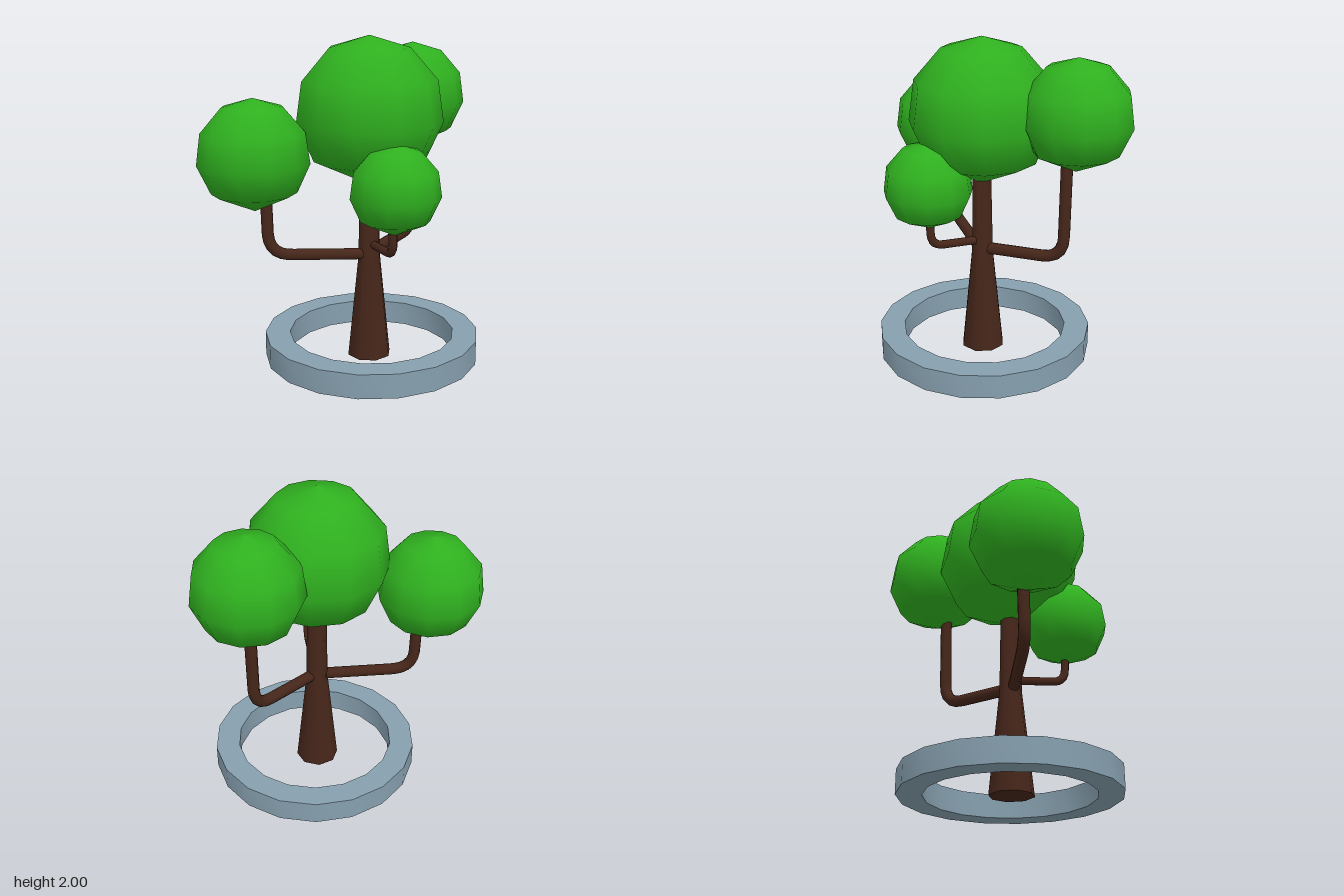
import * as THREE from 'three';
import { toCreasedNormals } from 'three/addons/utils/BufferGeometryUtils.js';

const leaf = new THREE.MeshStandardMaterial({ color: 0x2fb01f });
const bark = new THREE.MeshStandardMaterial({ color: 0x46261a, side: THREE.DoubleSide });
const stone = new THREE.MeshStandardMaterial({ color: 0x869fae });

function addMesh(group, name, geometry, material, x = 0, y = 0, z = 0) {
  const mesh = new THREE.Mesh(geometry, material);
  mesh.name = name;
  mesh.position.set(x, y, z);
  group.add(mesh);
  return mesh;
}

// Ball of eleven sides whose rings step by the same angle, ending in a wider bottom cone
function foliageGeometry(radius) {
  const step = (Math.PI * 2) / 11;
  const profile = [new THREE.Vector2(0, -radius)];
  for (let k = 4; k >= 0; k--) {
    profile.push(new THREE.Vector2(radius * Math.sin(k * step), radius * Math.cos(k * step)));
  }
  return new THREE.LatheGeometry(profile, 11, Math.PI);
}

// Branch running outward, then bending smoothly upward
function branchGeometry(start, corner, end, bend, radius) {
  const [a, c, b] = [start, corner, end].map((p) => new THREE.Vector3(...p));
  const before = c.clone().add(a.clone().sub(c).setLength(bend));
  const after = c.clone().add(b.clone().sub(c).setLength(bend));
  const path = new THREE.CurvePath();
  path.add(new THREE.LineCurve3(a, before));
  path.add(new THREE.QuadraticBezierCurve3(before, c, after));
  path.add(new THREE.LineCurve3(after, b));
  return new THREE.TubeGeometry(path, 24, radius, 10, false);
}

export function createModel() {
  const group = new THREE.Group();
  const v2 = (x, y) => new THREE.Vector2(x, y);

  // Planter ring around the base
  const ringProfile = [v2(0.515, 0), v2(0.67, 0), v2(0.67, 0.15), v2(0.515, 0.15), v2(0.515, 0)];
  const ring = toCreasedNormals(new THREE.LatheGeometry(ringProfile, 18), 0.6);
  addMesh(group, 'planterRing', ring, stone, 0.1, 0, 0.05);

  // Trunk, flaring toward the ground
  const trunkProfile = [v2(0, 0), v2(0.138, 0), v2(0.07, 0.65), v2(0.06, 1.2), v2(0, 1.2)];
  const trunk = toCreasedNormals(new THREE.LatheGeometry(trunkProfile, 8), 0.9);
  addMesh(group, 'trunk', trunk, bark, 0.09, 0, 0.065);

  // Branches: start, corner, end, bend length, radius
  const branches = [
    ['rightBranch', [0.07, 0.665, 0.1], [-0.38, 0.7, 0.48], [-0.39, 1.1, 0.48], 0.14, 0.036],
    ['backBranch', [0.1, 0.675, 0.03], [0.14, 0.7, -0.48], [0.14, 1.35, -0.49], 0.14, 0.037],
    ['leftBranch', [0.13, 0.73, 0.09], [0.36, 0.75, 0.29], [0.36, 1.0, 0.3], 0.08, 0.026],
  ];
  for (const [name, ...shape] of branches) addMesh(group, name, branchGeometry(...shape), bark);

  // Foliage balls: radius, centre
  const crowns = [
    ['mainFoliage', 0.45, 0.087, 1.55, 0.063],
    ['rightFoliage', 0.337, -0.43, 1.318, 0.538],
    ['backFoliage', 0.337, 0.1, 1.583, -0.532],
    ['leftFoliage', 0.271, 0.372, 1.145, 0.295],
  ];
  for (const [name, radius, x, y, z] of crowns) {
    addMesh(group, name, foliageGeometry(radius), leaf, x, y, z);
  }
  return group;
}
